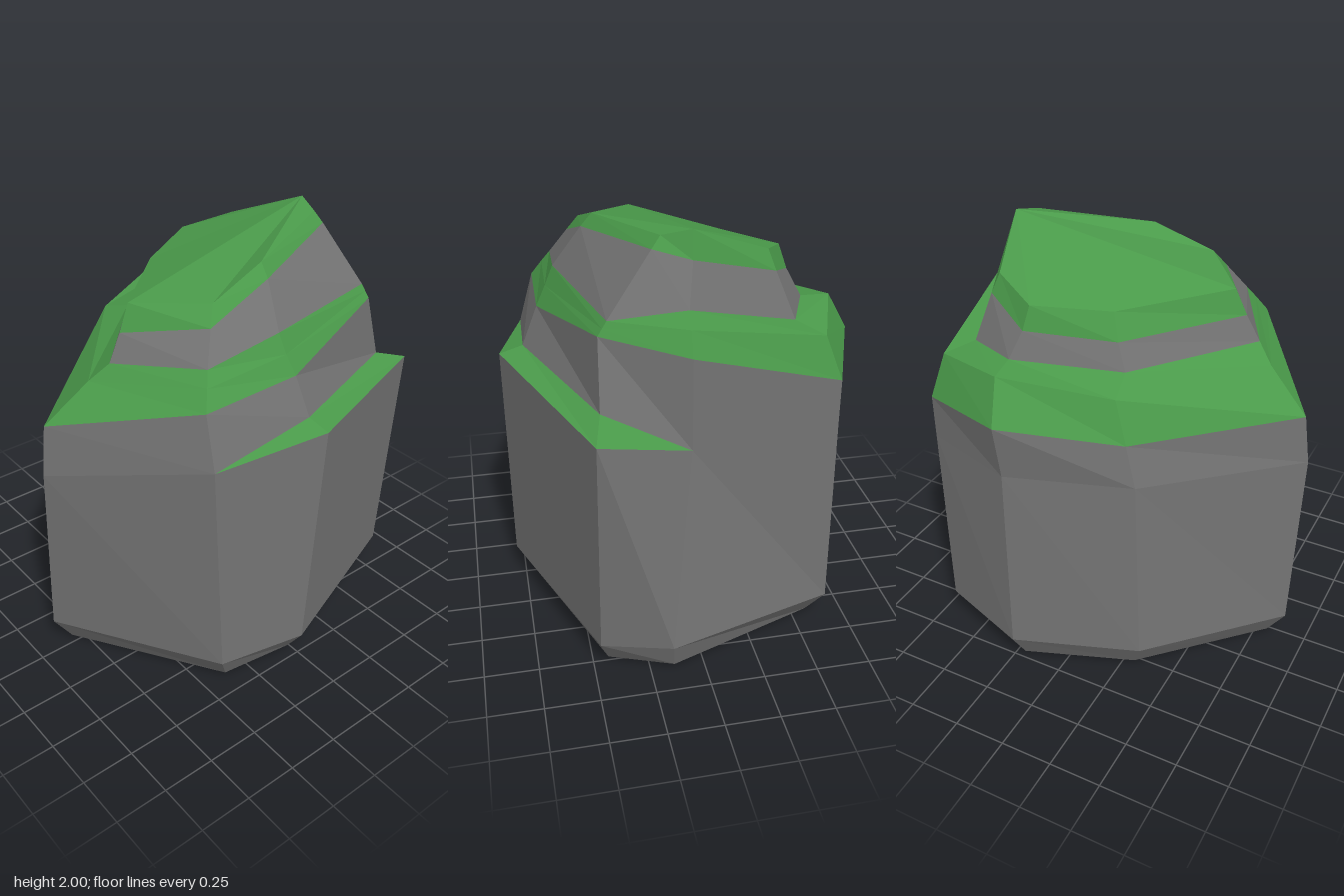
import * as THREE from 'three';

// Each ring runs counter-clockwise seen from above, starting at the front tip.
// Corners: front, front +x, side +x, back +x, back, back -x, side -x, front -x
const foot = [[-.03, .015, .81], [.65, .02, .38], [.7, .02, .02], [.43, .02, -.75], [.14, .02, -.86], [-.57, .02, -.6], [-.73, .02, -.2], [-.54, .02, .31]];
const base = [[-.04, .15, .9], [.7, .15, .44], [.79, .15, .02], [.47, .15, -.82], [.15, .15, -.905], [-.64, .15, -.67], [-.8, .15, -.22], [-.59, .15, .36]];
const rim = [[.01, 1.29, .88], [.67, 1.22, .47], [.8, 1.28, -.05], [.47, 1.23, -.91], [.05, 1.1, -.785], [-.63, 1.31, -.68], [-.8, 1.36, -.24], [-.55, 1.28, .27]];

// copy of a ring with some corners moved
const change = (ring, moved) => ring.map((p, i) => moved[i] ?? p);

const waist = change(rim, { 0: [.02, 1.05, .91], 5: [-.63, 1.1, -.68], 6: [-.77, 1.1, -.23], 7: [-.56, 1.08, .32] });
const shelfInner = change(rim, { 2: [.69, 1.31, -.04], 3: [.43, 1.29, -.74] });
const shoulder = change(rim, { 1: [.6, 1.47, .46], 2: [.615, 1.49, -.02], 3: [.42, 1.6, -.66], 4: [.05, 1.52, -.78] });
const mossEdge = [[.07, 1.47, .68], [.55, 1.55, .415], [.57, 1.58, 0], [.4, 1.63, -.655], [.05, 1.63, -.74], [-.56, 1.51, -.64], [-.69, 1.55, -.28], [-.51, 1.47, .2]];
const neckFoot = [[.12, 1.55, .6], [.51, 1.61, .38], [.53, 1.67, .01], [.38, 1.66, -.65], [.05, 1.7, -.7], [-.45, 1.55, -.54], [-.55, 1.56, -.3], [-.36, 1.52, .17]];
const neckTop = [[.11, 1.67, .535], [.43, 1.74, .3], [.4, 1.86, -.035], [.18, 1.92, -.57], [.02, 1.88, -.62], [-.37, 1.76, -.49], [-.49, 1.68, -.26], [-.33, 1.64, .12]];
const crown = [[.1, 1.79, .48], [.38, 1.82, .25], [.35, 1.92, -.04], [.14, 1.97, -.55], [.015, 2, -.59], [-.34, 1.85, -.46], [-.455, 1.79, -.24], [-.29, 1.76, .08]];

// builds a faceted geometry from triangles, leaving out collapsed ones
function facets(triangles) {
  const same = (p, q) => p.every((v, k) => v === q[k]);
  const kept = triangles.filter(([a, b, c]) => !same(a, b) && !same(b, c) && !same(a, c));
  const geometry = new THREE.BufferGeometry();
  geometry.setAttribute('position', new THREE.Float32BufferAttribute(kept.flat(2), 3));
  geometry.computeVertexNormals();
  return geometry;
}

// triangles joining each ring to the next one above it
function bands(...rings) {
  const out = [];
  for (let r = 0; r < rings.length - 1; r++) {
    const lo = rings[r], hi = rings[r + 1];
    for (let i = 0; i < lo.length; i++) {
      const j = (i + 1) % lo.length;
      out.push([lo[i], lo[j], hi[i]], [lo[j], hi[j], hi[i]]);
    }
  }
  return out;
}

// fan across a ring from one of its corners
function cap(ring, start) {
  const n = ring.length, at = (k) => ring[(start + k) % n];
  return Array.from({ length: n - 2 }, (_, k) => [at(0), at(k + 1), at(k + 2)]);
}

export function createModel() {
  const stone = new THREE.MeshStandardMaterial({ color: 0x737373 });
  stone.name = 'grey stone';
  const moss = new THREE.MeshStandardMaterial({ color: 0x4a9a4a });
  moss.name = 'green moss';
  stone.flatShading = moss.flatShading = true;

  const model = new THREE.Group();
  model.name = 'mossyRock';
  const add = (name, triangles, material) => {
    const mesh = new THREE.Mesh(facets(triangles), material);
    mesh.name = name;
    model.add(mesh);
  };

  // underside, slightly bulged down to the ground
  const underside = foot.map((p, i) => [foot[(i + 1) % foot.length], p, [0, 0, 0]]);
  add('underside', underside, stone);

  // stone body with its bevelled foot
  add('stoneBody', bands(foot, base, waist, rim), stone);

  // low side shelf and the wall rising behind it
  add('shelfMoss', bands(rim, shelfInner), moss);
  add('shelfWall', bands(shelfInner, shoulder), stone);

  // sloping moss collar around the shoulder
  add('shoulderMoss', bands(shoulder, mossEdge, neckFoot), moss);

  // stone neck below the mossy crown
  add('stoneNeck', bands(neckFoot, neckTop), stone);
  add('crownMoss', [...bands(neckTop, crown), ...cap(crown, 4)], moss);

  return model;
}
